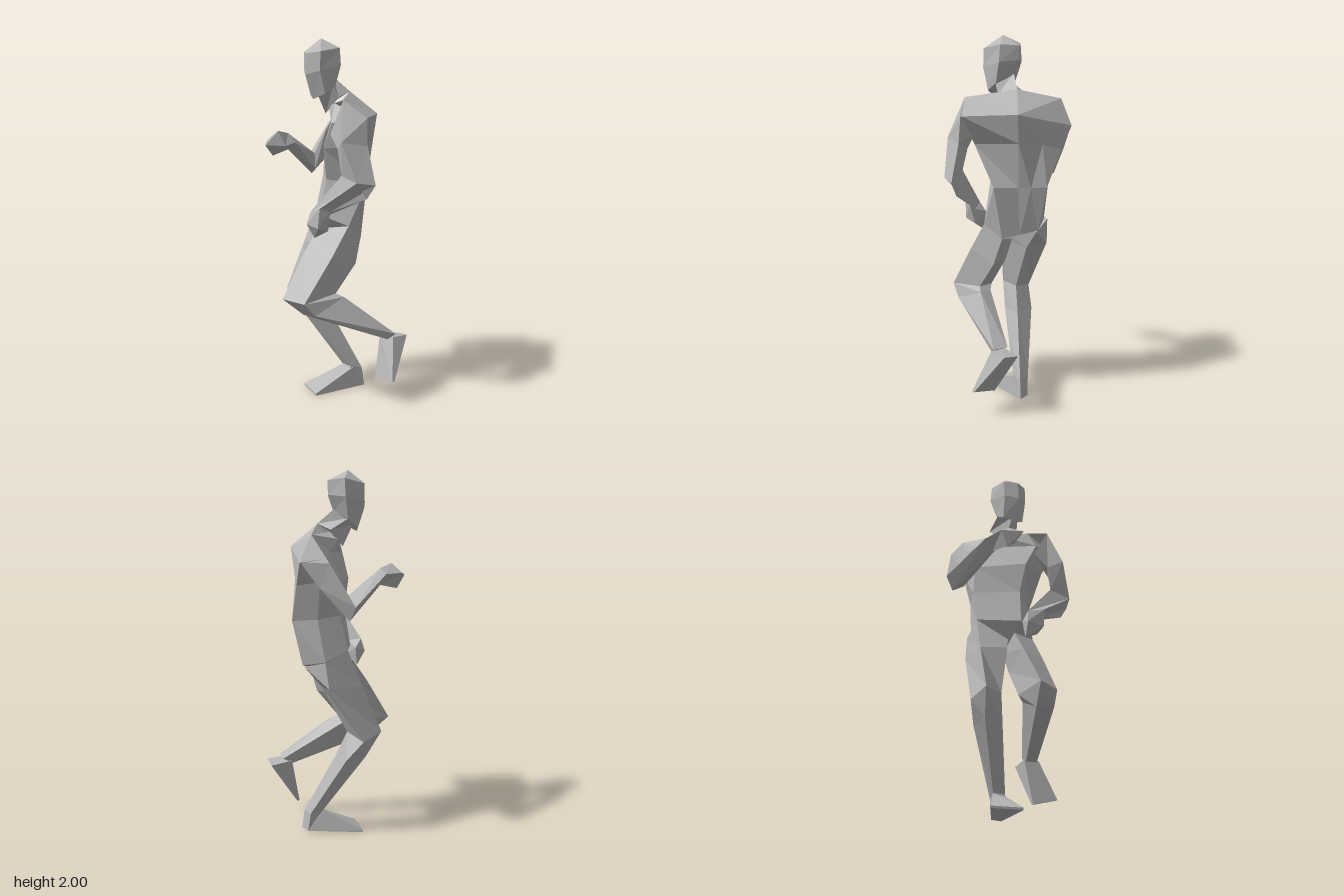
import * as THREE from 'three';

// Closed faceted skin through rings of equal point count; a ring may be followed by a tip point.
function loft(rings, tip) {
  const pos = [];
  const n = rings[0].length;
  const tri = (a, b, c) => pos.push(...a, ...b, ...c);
  const centre = (ring) => [0, 1, 2].map((k) => ring.reduce((s, p) => s + p[k], 0) / n);
  const first = rings[0], last = rings[rings.length - 1];
  const start = centre(first), end = tip || centre(last);
  for (let i = 0; i < n; i++) {
    const j = (i + 1) % n;
    tri(start, first[j], first[i]);
    for (let r = 0; r < rings.length - 1; r++) {
      const a = rings[r], b = rings[r + 1];
      tri(a[i], a[j], b[j]);
      tri(a[i], b[j], b[i]);
    }
    tri(last[i], last[j], end);
  }
  // Turn the faces outward when the enclosed volume comes out negative
  let volume = 0;
  const [a, b, c] = [new THREE.Vector3(), new THREE.Vector3(), new THREE.Vector3()];
  const o = new THREE.Vector3(...start);
  for (let i = 0; i < pos.length; i += 9) {
    a.fromArray(pos, i).sub(o); b.fromArray(pos, i + 3).sub(o); c.fromArray(pos, i + 6).sub(o);
    volume += a.dot(b.cross(c));
  }
  if (volume < 0) {
    for (let i = 0; i < pos.length; i += 9) {
      for (let k = 0; k < 3; k++) [pos[i + 3 + k], pos[i + 6 + k]] = [pos[i + 6 + k], pos[i + 3 + k]];
    }
  }
  const geometry = new THREE.BufferGeometry();
  geometry.setAttribute('position', new THREE.Float32BufferAttribute(pos, 3));
  geometry.computeVertexNormals();
  return geometry;
}

export function createModel() {
  const model = new THREE.Group();
  model.name = 'runningFigure';
  const grey = new THREE.MeshStandardMaterial({ color: 0xb8b8b8 });
  grey.name = 'plainGrey';
  grey.flatShading = true;
  const part = (name, rings, tip) => {
    const mesh = new THREE.Mesh(loft(rings, tip), grey);
    mesh.name = name;
    model.add(mesh);
  };

  // Head: six-sided rings from jaw to brow, closed by the crown
  part('head', [
    [[-.035, 1.68, .085], [.03, 1.71, .055], [.035, 1.75, -.01], [-.05, 1.79, -.06], [-.11, 1.74, -.01], [-.1, 1.7, .055]],
    [[-.04, 1.81, .13], [.03, 1.83, .09], [.045, 1.86, -.04], [-.05, 1.87, -.1], [-.135, 1.86, -.04], [-.11, 1.83, .09]],
    [[-.04, 1.92, .125], [.03, 1.93, .085], [.035, 1.95, -.04], [-.05, 1.945, -.1], [-.125, 1.955, -.04], [-.115, 1.93, .085]],
  ], [-.052, 2, .02]);

  part('neck', [
    [[-.05, 1.6, -.01], [.04, 1.69, -.03], [.005, 1.72, -.135], [-.1, 1.69, -.11]],
    [[-.04, 1.72, .06], [.03, 1.75, 0], [-.05, 1.8, -.06], [-.1, 1.75, 0]],
  ]);

  // Torso rings: front right, front left, left flank, left back, spine, right back, right flank
  const rightShoulder = [-.195, 1.67, -.27];
  const leftBlade = [.115, 1.6, -.24];
  part('torso', [
    [[-.075, 1.64, -.05], [.08, 1.66, .03], [.195, 1.68, .065], [.005, 1.72, -.135], rightShoulder, rightShoulder, rightShoulder],
    [[-.15, 1.58, -.14], [.11, 1.56, .075], [.295, 1.59, -.01], leftBlade, leftBlade, [-.2, 1.53, -.34], [-.27, 1.55, -.24]],
    [[-.19, 1.42, -.11], [.04, 1.42, .075], [.2, 1.44, -.01], [.095, 1.45, -.228], [-.03, 1.44, -.285], [-.136, 1.41, -.328], [-.21, 1.43, -.23]],
    [[-.2, 1.25, -.11], [.02, 1.25, .04], [.17, 1.215, -.12], [.065, 1.21, -.2], [.02, 1.21, -.25], [-.04, 1.215, -.31], [-.16, 1.23, -.22]],
    [[-.2, 1.06, -.06], [.01, 1.05, .07], [.14, 1, -.02], [.115, .93, -.13], [.04, .95, -.19], [-.04, .97, -.25], [-.17, 1, -.18]],
  ], [-.03, .905, -.06]);

  // Left arm: bent with the hand in front of the waist
  const leftElbow = [[.37, 1.25, -.01], [.33, 1.265, .085], [.2, 1.29, .08], [.32, 1.175, .005]];
  const leftWrist = [[.13, 1.09, .1], [.11, 1.11, .155], [.01, 1.08, .14], [.09, 1.06, .1]];
  part('leftUpperArm', [
    [[.3, 1.59, -.01], [.195, 1.68, .065], [.1, 1.5, .075], [.2, 1.5, -.02]],
    [[.31, 1.45, -.005], [.26, 1.47, .13], [.18, 1.43, .09], [.23, 1.42, .01]],
    leftElbow,
  ]);
  part('leftForearm', [leftElbow, leftWrist]);
  part('leftHand', [
    leftWrist,
    [[.1, .98, .09], [.1, 1, .16], [0, 1.01, .16], [0, 1.03, .1]],
  ], [.01, .93, .115]);

  // Right arm: elbow back, forearm reaching forward
  const rightElbow = [[-.37, 1.31, -.11], [-.265, 1.36, -.095], [-.265, 1.27, -.1], [-.325, 1.235, -.12]];
  const rightWrist = [[-.26, 1.46, .135], [-.21, 1.49, .13], [-.17, 1.44, .11], [-.21, 1.4, .13]];
  part('rightUpperArm', [
    [rightShoulder, [-.16, 1.57, -.15], [-.18, 1.45, -.2], [-.2, 1.53, -.335]],
    [[-.295, 1.53, -.22], [-.2, 1.5, -.13], [-.2, 1.4, -.17], [-.25, 1.4, -.25]],
    rightElbow,
  ]);
  part('rightForearm', [rightElbow, rightWrist]);
  part('rightHand', [
    rightWrist,
    [[-.225, 1.46, .26], [-.16, 1.51, .23], [-.12, 1.43, .21], [-.185, 1.375, .25]],
  ], [-.13, 1.44, .335]);

  // Left leg: knee raised, shin trailing back with the foot hanging
  const leftKnee = [[-.02, .61, .31], [.11, .6, .26], [.11, .625, .045], [-.01, .61, .07]];
  part('leftThigh', [
    [[-.03, .97, .065], [.14, 1, -.02], [.115, .93, -.13], [-.02, .9, -.08]],
    [[-.03, .84, .16], [.135, .84, .09], [.13, .78, -.08], [0, .78, -.05]],
    leftKnee,
  ]);
  part('leftShin', [
    leftKnee,
    [[.02, .51, .2], [.13, .53, .2], [.14, .605, .01], [.04, .59, .03]],
    [[.2, .345, -.2], [.27, .35, -.2], [.295, .38, -.24], [.21, .375, -.26]],
  ]);
  part('leftFoot', [
    [[.195, .36, -.21], [.295, .365, -.22], [.3, .36, -.32], [.21, .345, -.335]],
    [[.215, .1, -.155], [.37, .14, -.15], [.37, .14, -.165], [.215, .1, -.17]],
  ]);

  // Right leg: bent and carrying the weight
  const rightKnee = [[-.235, .6, .13], [-.118, .6, .08], [-.12, .59, -.02], [-.258, .56, .005]];
  part('rightThigh', [
    [[-.2, 1.06, -.06], [-.04, .95, .01], [-.04, .96, -.24], [-.19, 1, -.19]],
    [[-.215, .86, .02], [-.065, .88, .05], [-.06, .85, -.15], [-.205, .86, -.175]],
    rightKnee,
  ]);
  part('rightShin', [
    rightKnee,
    [[-.2, .46, .055], [-.085, .46, .035], [-.08, .45, -.07], [-.2, .45, -.07]],
    [[-.045, .13, -.13], [.03, .13, -.135], [.045, .11, -.205], [-.025, .11, -.2]],
    [[-.04, .1, -.12], [.03, .1, -.125], [.055, .005, -.215], [-.01, .005, -.21]],
  ]);
  part('rightFoot', [
    [[-.045, .125, -.13], [.035, .125, -.15], [.055, .005, -.215], [-.01, .005, -.21]],
    [[-.165, .012, .06], [0, .012, .1], [0, 0, .1], [-.165, 0, .06]],
  ]);

  return model;
}
